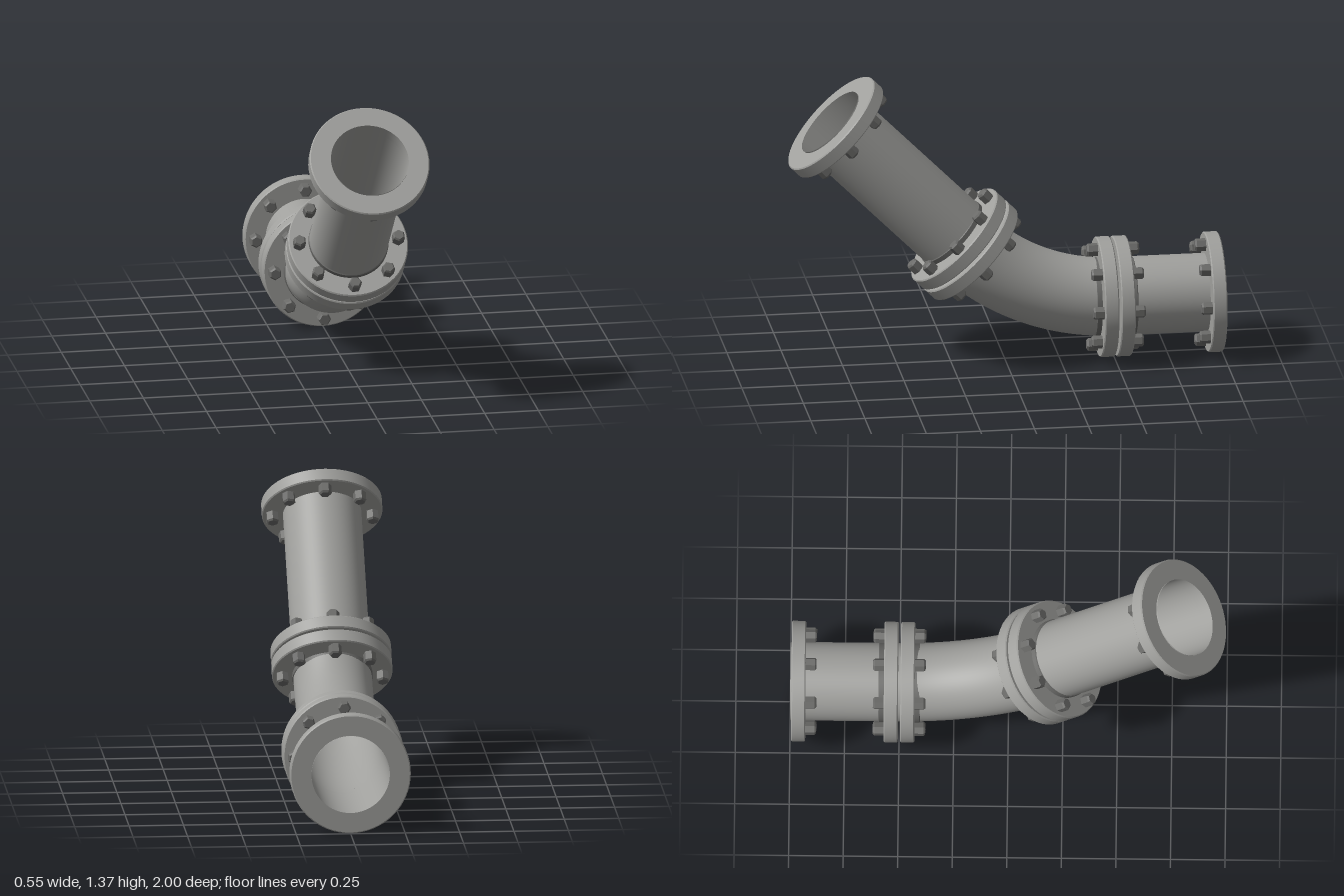
import * as THREE from 'three';
import { toCreasedNormals } from 'three/addons/utils/BufferGeometryUtils.js';

const PIPE_R = 0.18, FLANGE_R = 0.277, BOLT_CIRCLE = 0.23;
const AXIS_Y = 0.277, BACK_Z = -1, JOINT_Z = -0.5;
const BEND_R = 0.97, BEND = Math.PI / 4, FRONT_LENGTH = 0.88;
const FACE = -0.0055, REAR = -0.0705; // flange faces, measured from the pipe end

// Circular arc in the yz plane, starting along +z and curving upwards
class BendCurve extends THREE.Curve {
  getPoint(t, target = new THREE.Vector3()) {
    const a = t * BEND;
    return target.set(0, AXIS_Y + BEND_R * (1 - Math.cos(a)), JOINT_Z + BEND_R * Math.sin(a));
  }
}

function lathe(profile, sides) {
  const points = profile.map(([x, y]) => new THREE.Vector2(x, y));
  return toCreasedNormals(new THREE.LatheGeometry(points, sides), 0.5);
}

export function createModel() {
  const model = new THREE.Group();
  model.name = 'flangedPipe';

  const steel = new THREE.MeshStandardMaterial({ color: 0xa0a09d, side: THREE.DoubleSide });
  steel.name = 'steel';
  const darkSteel = new THREE.MeshStandardMaterial({ color: 0x6b6b69 });
  darkSteel.name = 'darkSteel';

  const c = 0.005;
  const flangeGeometry = lathe([
    [PIPE_R, REAR], [FLANGE_R - c, REAR], [FLANGE_R, REAR + c],
    [FLANGE_R, FACE - c], [FLANGE_R - c, FACE], [PIPE_R, FACE], [PIPE_R, REAR],
  ], 64);
  const boltGeometry = lathe([
    [0, -0.05], [0.023, -0.05], [0.03, -0.042], [0.03, 0],
  ], 6);
  const weldGeometry = lathe([
    [PIPE_R, REAR - 0.025], [PIPE_R + 0.004, REAR - 0.022], [PIPE_R + 0.004, REAR],
  ], 64);

  const up = new THREE.Vector3(0, 1, 0);
  const add = (parent, name, geometry, material) => {
    const mesh = new THREE.Mesh(geometry, material);
    mesh.name = name;
    parent.add(mesh);
    return mesh;
  };

  // Flange whose face looks along dir, with bolt heads behind it
  function addFlange(name, position, dir, welded) {
    const group = new THREE.Group();
    group.name = name;
    add(group, 'flangeRing', flangeGeometry, steel);
    if (welded) add(group, 'weldRing', weldGeometry, darkSteel);
    for (let i = 0; i < 8; i++) {
      const a = (i * Math.PI) / 4;
      const bolt = add(group, 'bolt', boltGeometry, darkSteel);
      bolt.position.set(BOLT_CIRCLE * Math.cos(a), REAR, BOLT_CIRCLE * Math.sin(a));
      bolt.rotation.y = -a;
    }
    group.position.copy(position);
    group.quaternion.setFromUnitVectors(up, dir);
    model.add(group);
  }

  function addPipe(name, from, to) {
    const length = from.distanceTo(to);
    const geometry = new THREE.CylinderGeometry(PIPE_R, PIPE_R, length, 64, 1, true);
    const pipe = add(model, name, geometry, steel);
    pipe.position.copy(from).add(to).multiplyScalar(0.5);
    pipe.quaternion.setFromUnitVectors(up, to.clone().sub(from).normalize());
  }

  // Pipe runs: straight back, curved elbow, straight rising front
  const bend = new BendCurve();
  const backDir = new THREE.Vector3(0, 0, 1);
  const frontDir = new THREE.Vector3(0, Math.sin(BEND), Math.cos(BEND));
  const backEnd = new THREE.Vector3(0, AXIS_Y, BACK_Z);
  const lowerJoint = bend.getPoint(0);
  const upperJoint = bend.getPoint(1);
  const frontEnd = upperJoint.clone().addScaledVector(frontDir, FRONT_LENGTH);

  addPipe('backPipe', backEnd, lowerJoint);
  add(model, 'elbowPipe', new THREE.TubeGeometry(bend, 32, PIPE_R, 64, false), steel);
  addPipe('frontPipe', upperJoint, frontEnd);

  // Flanges at both open ends and in pairs at the joints
  const backward = backDir.clone().negate();
  const downward = frontDir.clone().negate();
  addFlange('backEndFlange', backEnd, backward, false);
  addFlange('backPipeFlange', lowerJoint, backDir, true);
  addFlange('elbowLowerFlange', lowerJoint, backward, true);
  addFlange('elbowUpperFlange', upperJoint, frontDir, true);
  addFlange('frontPipeFlange', upperJoint, downward, true);
  addFlange('frontEndFlange', frontEnd, frontDir, false);

  return model;
}
